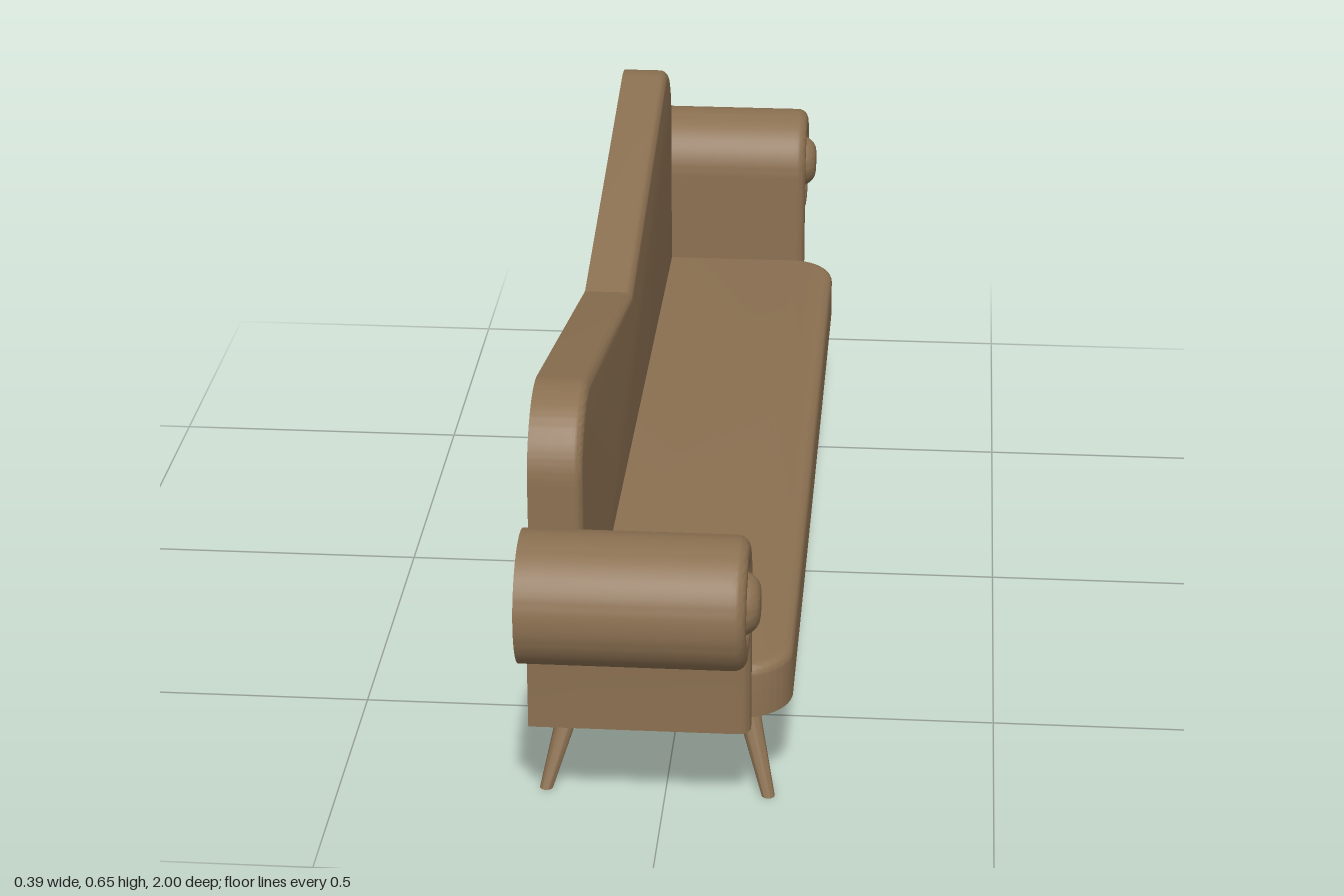
import * as THREE from 'three';
import { toCreasedNormals } from 'three/addons/utils/BufferGeometryUtils.js';

const BASE = 0.167;   // underside of the upholstery
const BACK = -0.195;  // rear plane
const END = 0.804;    // half length between the arms

// Extrusion with a rounded front edge and a flat rear; points below floorY are levelled.
function roundedFront(shape, depth, bevel, bevelDepth = bevel, floorY = -Infinity) {
  const geo = new THREE.ExtrudeGeometry(shape, {
    depth: depth - bevelDepth, bevelEnabled: true, bevelSize: bevel, bevelThickness: bevelDepth,
    bevelOffset: -bevel, bevelSegments: 6, curveSegments: 20,
  });
  const p = geo.attributes.position;
  for (let i = 0; i < p.count; i++) {
    p.setZ(i, Math.max(0, p.getZ(i)));
    p.setY(i, Math.max(floorY, p.getY(i)));
  }
  return toCreasedNormals(geo, 0.38);
}

// Turns an extrusion to face +x, starting at the rear plane.
const faceForward = (geo) => geo.rotateY(Math.PI / 2).translate(BACK, 0, 0);

function backShape() {
  const r = 0.117, cz = END - r, cy = 0.538, a = 0.21;
  const s = new THREE.Shape();
  s.moveTo(-END, BASE - 0.02);
  s.lineTo(END, BASE - 0.02);
  s.lineTo(END, cy);
  s.absarc(cz, cy, r, 0, Math.PI / 2 + a, false);
  s.lineTo(0, 0.51);
  s.absarc(-cz, cy, r, Math.PI / 2 - a, Math.PI, false);
  s.closePath();
  return s;
}

function seatShape() {
  const x = 0.192, r = 0.08;
  const s = new THREE.Shape();
  s.moveTo(BACK, -END);
  s.lineTo(x - r, -END);
  s.absarc(x - r, -END + r, r, -Math.PI / 2, 0, false);
  s.absarc(x - r, END - r, r, 0, Math.PI / 2, false);
  s.lineTo(BACK, END);
  s.closePath();
  return s;
}

// Upright panel that curls outward into a scroll with a round tip.
const SCROLL = { z: 0.902, y: 0.4125, outer: 0.098, inner: 0.049 };
function armShape(side) {
  const { z, y, outer, inner } = SCROLL;
  const pts = [], tip = -1.85, n = 56, bottom = BASE - 0.02;
  const add = (cz, cy, r, a) => pts.push(new THREE.Vector2(side * (cz + r * Math.cos(a)), cy + r * Math.sin(a)));
  const mid = (outer + inner) / 2, half = (outer - inner) / 2;
  add(z - outer, bottom, 0, 0);
  for (let i = 0; i <= n; i++) add(z, y, outer, Math.PI + (tip - Math.PI) * i / n);
  for (let i = 1; i < 12; i++) {
    add(z + mid * Math.cos(tip), y + mid * Math.sin(tip), half, tip - Math.PI * i / 12);
  }
  for (let i = n; i >= 0; i--) add(z, y, inner, Math.PI + (tip - Math.PI) * i / n);
  add(z - inner, bottom, 0, 0);
  return new THREE.Shape(pts);
}

// Tapered leg sheared outward, so both ends stay level.
function legGeometry(x0, z0, x1, z1) {
  const geo = new THREE.CylinderGeometry(0.021, 0.01, BASE, 24).translate(0, BASE / 2, 0);
  const p = geo.attributes.position;
  for (let i = 0; i < p.count; i++) {
    const t = p.getY(i) / BASE;
    p.setX(i, p.getX(i) + x1 + (x0 - x1) * t);
    p.setZ(i, p.getZ(i) + z1 + (z0 - z1) * t);
  }
  return toCreasedNormals(geo, 0.6);
}

export function createModel() {
  const model = new THREE.Group();
  model.name = 'sofa';
  const brown = new THREE.MeshStandardMaterial({ color: 0x8b7051 });
  brown.name = 'brown';
  const add = (name, geo) => {
    const mesh = new THREE.Mesh(geo, brown);
    mesh.name = name;
    model.add(mesh);
  };

  add('backrest', faceForward(roundedFront(backShape(), 0.08, 0.016, 0.016, BASE)));
  add('seat', roundedFront(seatShape(), 0.085, 0.016).rotateX(-Math.PI / 2).translate(0, BASE, 0));

  for (const side of [1, -1]) {
    const label = side > 0 ? 'left' : 'right';
    // The quarter turn maps shape +x to -z, so the outline is flipped.
    add(label + 'Arm', faceForward(roundedFront(armShape(-side), 0.33, 0.019, 0.019, BASE)));

    const disc = new THREE.Shape();
    disc.absarc(-side * SCROLL.z, SCROLL.y, 0.05, 0, Math.PI * 2, false);
    add(label + 'ScrollCore', faceForward(roundedFront(disc, 0.347, 0.03, 0.04)));

    add(label + 'FrontLeg', legGeometry(0.11, side * 0.677, 0.157, side * 0.746));
    add(label + 'BackLeg', legGeometry(-0.136, side * 0.677, -0.183, side * 0.746));
  }
  return model;
}
